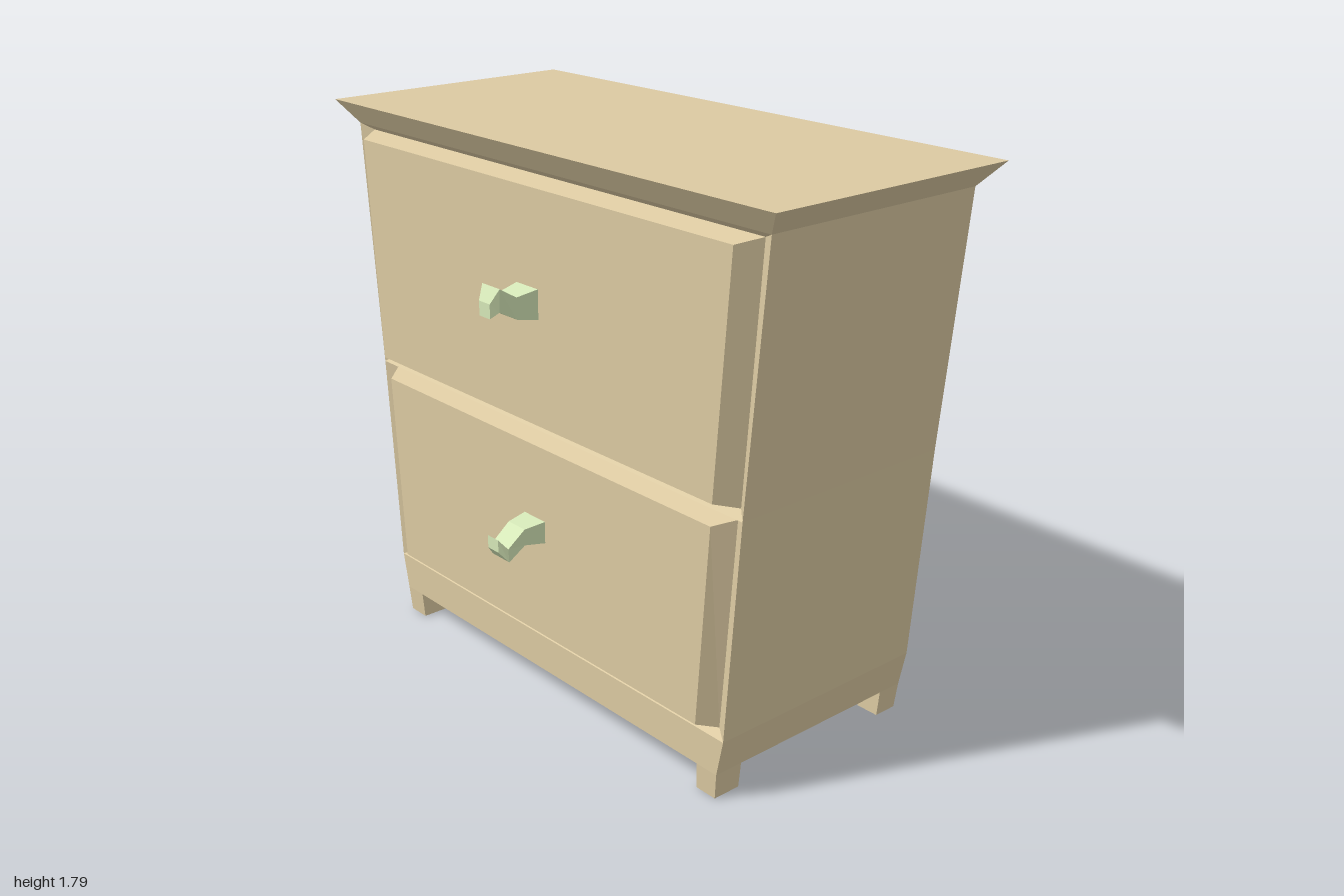
import * as THREE from 'three';

const wood = new THREE.MeshStandardMaterial({ color: 0xdccaa2, flatShading: true });
const pale = new THREE.MeshStandardMaterial({ color: 0xd6e8b8, flatShading: true });

// Skin matching rings of points, counter-clockwise seen from the end; caps are optional
function loft(name, rings, material, capStart = true, capEnd = true) {
  const pos = [];
  const tri = (a, b, c) => pos.push(...a, ...b, ...c);
  const n = rings[0].length;
  for (let r = 0; r < rings.length - 1; r++) {
    const a = rings[r], b = rings[r + 1];
    for (let i = 0; i < n; i++) {
      const j = (i + 1) % n;
      tri(a[i], a[j], b[j]);
      tri(a[i], b[j], b[i]);
    }
  }
  const cap = (ring, flip) => {
    const mid = [0, 1, 2].map(k => ring.reduce((s, p) => s + p[k], 0) / n);
    for (let i = 0; i < n; i++) {
      const p = ring[i], q = ring[(i + 1) % n];
      if (flip) tri(mid, q, p); else tri(mid, p, q);
    }
  };
  if (capStart) cap(rings[0], true);
  if (capEnd) cap(rings[rings.length - 1], false);
  const geo = new THREE.BufferGeometry();
  geo.setAttribute('position', new THREE.Float32BufferAttribute(pos, 3));
  geo.computeVertexNormals();
  const mesh = new THREE.Mesh(geo, material);
  mesh.name = name;
  return mesh;
}

// Horizontal rectangle at height y
const flat = (y, x0, x1, z0, z1) => [[x0, y, z1], [x1, y, z1], [x1, y, z0], [x0, y, z0]];
// Upright symmetric trapezoid at depth z: bottom and top height, bottom and top half width
const upright = (z, y0, y1, w0, w1) => [[-w0, y0, z], [w0, y0, z], [w1, y1, z], [-w1, y1, z]];

export function createModel() {
  const model = new THREE.Group();
  const front = 0.325, back = -0.47, recess = 0.3;

  // Cabinet: tapered outline carried from back to front, front left open for the panels
  const sides = [[0.085, 0.787], [0.205, 0.812], [0.91, 0.865], [1.713, 0.938]];
  const outline = z => [
    ...sides.map(([y, w]) => [w, y, z]),
    ...sides.slice().reverse().map(([y, w]) => [-w, y, z]),
  ];
  model.add(loft('cabinet', [outline(back), outline(front)], wood, true, false));
  model.add(loft('plinthFront', [upright(front, 0.085, 0.205, 0.787, 0.812)], wood, false, true));

  // Flared top
  model.add(loft('top', [
    flat(1.713, -0.938, 0.938, back, front),
    flat(1.787, -1, 1, -0.527, 0.377),
  ], wood));

  // Drawers: bevelled frame running into a recess, then a raised panel
  model.add(loft('upperDrawer', [
    upright(front, 0.91, 1.713, 0.865, 0.938),
    upright(recess, 0.933, 1.694, 0.833, 0.893),
    upright(0.37, 0.952, 1.677, 0.793, 0.85),
  ], wood, false, true));
  model.add(loft('lowerDrawer', [
    upright(front, 0.205, 0.91, 0.812, 0.865),
    upright(recess, 0.226, 0.896, 0.77, 0.823),
    upright(0.36, 0.242, 0.878, 0.732, 0.778),
  ], wood, false, true));

  // Handles: the upper hooks upward, the lower hooks downward
  model.add(loft('upperHandle', [
    upright(0.36, 1.286, 1.382, 0.052, 0.052),
    upright(0.44, 1.3, 1.367, 0.04, 0.04),
    upright(0.5, 1.333, 1.404, 0.038, 0.042),
    upright(0.525, 1.315, 1.36, 0.025, 0.026),
  ], pale));
  model.add(loft('lowerHandle', [
    upright(0.35, 0.565, 0.639, 0.052, 0.052),
    upright(0.43, 0.577, 0.63, 0.04, 0.04),
    upright(0.492, 0.54, 0.582, 0.042, 0.038),
    upright(0.52, 0.575, 0.616, 0.026, 0.025),
  ], pale));

  // Four short feet, slightly tapered
  for (const side of [-1, 1]) {
    for (const [name, z0, z1] of [['frontFoot', 0.225, front], ['backFoot', back, -0.383]]) {
      const ring = (y, inner, outer, inset) => {
        const xs = [side * inner, side * outer].sort((a, b) => a - b);
        return flat(y, xs[0], xs[1], z0 + (z0 < 0 ? inset : 0), z1 - (z1 > 0 ? inset : 0));
      };
      model.add(loft(name, [ring(0, 0.7, 0.778, 0.005), ring(0.085, 0.705, 0.787, 0)], wood));
    }
  }
  return model;
}
